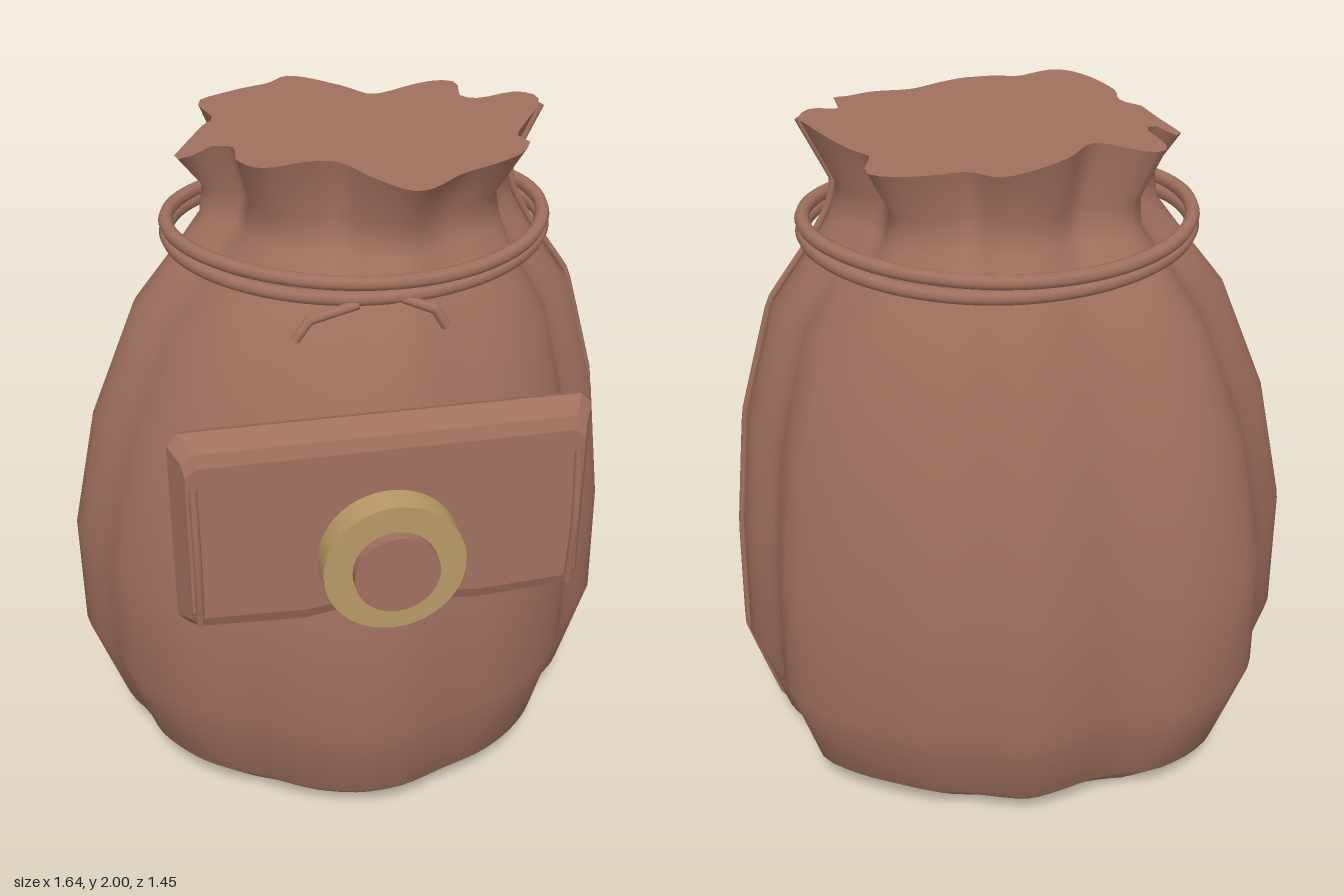
import * as THREE from 'three';

const N = 96;

// Samples a closed outline by angle and fits it to the box [-1, 1]
function unitOutline(points, cx, cz) {
  const polar = points.map(([x, z]) => ({
    a: (Math.atan2(z - cz, x - cx) + Math.PI * 2) % (Math.PI * 2),
    r: Math.hypot(x - cx, z - cz),
  })).sort((p, q) => p.a - q.a);
  const n = polar.length;
  const at = (i) => polar[((i % n) + n) % n];
  const out = [];
  for (let k = 0; k < N; k++) {
    const a = (k / N) * Math.PI * 2;
    let i = -1;
    while (i + 1 < n && polar[i + 1].a <= a) i++;
    const span = (at(i + 1).a - at(i).a + Math.PI * 2) % (Math.PI * 2);
    const t = ((a - at(i).a + Math.PI * 2) % (Math.PI * 2)) / span;
    const [p0, p1, p2, p3] = [-1, 0, 1, 2].map((d) => at(i + d).r);
    const r = 0.5 * (2 * p1 + (p2 - p0) * t + (2 * p0 - 5 * p1 + 4 * p2 - p3) * t * t
      + (3 * p1 - p0 - 3 * p2 + p3) * t * t * t);
    out.push([Math.cos(a) * r, Math.sin(a) * r]);
  }
  for (const c of [0, 1]) {
    const lo = Math.min(...out.map((p) => p[c])), hi = Math.max(...out.map((p) => p[c]));
    out.forEach((p) => { p[c] = ((p[c] - lo) / (hi - lo)) * 2 - 1; });
  }
  return out;
}

// Gently folded belly and strongly pleated mouth
const belly = unitOutline([
  [-0.82, -0.13], [-0.75, -0.27], [-0.695, -0.37], [-0.665, -0.48], [-0.59, -0.57], [-0.43, -0.655],
  [-0.33, -0.655], [-0.23, -0.665], [-0.1, -0.71], [0, -0.73], [0.1, -0.71], [0.2, -0.68],
  [0.33, -0.655], [0.43, -0.61], [0.56, -0.54], [0.66, -0.455], [0.685, -0.37], [0.69, -0.28],
  [0.75, -0.2], [0.785, -0.11], [0.775, -0.04], [0.775, 0.02], [0.73, 0.09], [0.635, 0.175],
  [0.59, 0.28], [0.5, 0.39], [0.36, 0.49], [0.2, 0.55], [0, 0.61], [-0.21, 0.57],
  [-0.4, 0.465], [-0.5, 0.415], [-0.59, 0.35], [-0.65, 0.285], [-0.72, 0.175], [-0.75, 0.07],
  [-0.805, -0.04],
], 0, -0.06);
const mouth = unitOutline([
  [-0.46, -0.08], [-0.34, -0.2], [-0.35, -0.37], [-0.17, -0.375], [-0.08, -0.46], [0.07, -0.46],
  [0.16, -0.39], [0.39, -0.42], [0.39, -0.28], [0.54, -0.15], [0.55, -0.07], [0.45, 0.07],
  [0.46, 0.15], [0.38, 0.22], [0.245, 0.27], [0.105, 0.355], [0.03, 0.32], [-0.07, 0.23],
  [-0.24, 0.23], [-0.315, 0.13], [-0.32, 0.02],
], 0.045, -0.06);

// Height, x range, z range, share of the mouth pleats
const LEVELS = [
  [0.01, -0.6, 0.58, -0.54, 0.43, 0], [0.12, -0.72, 0.71, -0.65, 0.54, 0],
  [0.4, -0.82, 0.8, -0.725, 0.605, 0], [0.77, -0.82, 0.79, -0.71, 0.61, 0],
  [1.14, -0.74, 0.75, -0.67, 0.56, 0.05], [1.48, -0.6, 0.655, -0.585, 0.465, 0.15],
  [1.66, -0.46, 0.53, -0.5, 0.37, 0.35], [1.74, -0.4, 0.485, -0.45, 0.315, 0.6],
  [1.82, -0.39, 0.465, -0.43, 0.29, 0.8], [1.95, -0.46, 0.55, -0.475, 0.36, 1],
];

// Wavy height of the mouth rim
const RIM = [[-0.46, 1.91], [-0.35, 1.965], [-0.16, 1.995], [0.14, 1.94], [0.4, 1.955], [0.55, 2]];
function rimHeight(x) {
  let i = 0;
  while (i < RIM.length - 2 && x > RIM[i + 1][0]) i++;
  const t = THREE.MathUtils.smoothstep(x, RIM[i][0], RIM[i + 1][0]);
  return THREE.MathUtils.lerp(RIM[i][1], RIM[i + 1][1], t);
}

function bagPoint(level, i) {
  const [y, x0, x1, z0, z1, m] = LEVELS[level];
  const u = THREE.MathUtils.lerp(belly[i][0], mouth[i][0], m);
  const v = THREE.MathUtils.lerp(belly[i][1], mouth[i][1], m);
  const x = (x0 + x1) / 2 + (u * (x1 - x0)) / 2;
  const z = (z0 + z1) / 2 + (v * (z1 - z0)) / 2;
  return [x, level === LEVELS.length - 1 ? rimHeight(x) : y, z];
}

function buildGeometry(positions, index) {
  const g = new THREE.BufferGeometry();
  g.setAttribute('position', new THREE.Float32BufferAttribute(positions, 3));
  g.setIndex(index);
  g.computeVertexNormals();
  return g;
}

function bagWall() {
  const pos = [], idx = [];
  LEVELS.forEach((_, j) => {
    for (let i = 0; i < N; i++) pos.push(...bagPoint(j, i));
  });
  for (let j = 0; j < LEVELS.length - 1; j++) {
    for (let i = 0; i < N; i++) {
      const a = j * N + i, b = j * N + ((i + 1) % N);
      idx.push(a, a + N, b, b, a + N, b + N);
    }
  }
  return buildGeometry(pos, idx);
}

// Cap evenly shaded as one flat face
function bagCap(level, up) {
  const pos = up ? [0.045, 1.96, -0.06] : [-0.01, LEVELS[level][0], -0.055];
  const idx = [];
  for (let i = 0; i < N; i++) {
    pos.push(...bagPoint(level, i));
    const a = 1 + i, b = 1 + ((i + 1) % N);
    idx.push(0, ...(up ? [b, a] : [a, b]));
  }
  const g = buildGeometry(pos, idx);
  for (let i = 0; i <= N; i++) g.attributes.normal.setXYZ(i, 0, up ? 1 : -1, 0);
  return g;
}

// Faceted pouch, widest halfway through, with a slightly arched lower edge
function pouchGeometry() {
  const cx = -0.0175, cy = 1.12;
  const outline = [
    [-0.545, 0.83], [-0.25, 0.815], [-0.1, 0.84], [0.05, 0.84], [0.25, 0.815], [0.51, 0.83],
    [0.54, 0.86], [0.54, 1.39], [0.51, 1.42], [-0.545, 1.42], [-0.575, 1.39], [-0.575, 0.86],
  ];
  // Depth, inset of the ends, inset of the long edges
  const rings = [[0.465, 0.035, 0.065], [0.475, 0.03, 0.03], [0.535, 0, 0], [0.597, 0.03, 0.03],
    [0.61, 0.035, 0.065]];
  const n = outline.length, last = rings.length * n, pos = [], idx = [];
  for (const [z, dx, dy] of rings) {
    for (const [x, y] of outline) {
      pos.push(cx + (x - cx) * (1 - dx / 0.5575), cy + (y - cy) * (1 - dy / 0.3), z);
    }
  }
  pos.push(cx, cy, rings[0][0], cx, cy, rings[rings.length - 1][0]);
  for (let i = 0; i < n; i++) {
    const k = (i + 1) % n;
    for (let j = 0; j < rings.length - 1; j++) {
      const a = j * n + i, b = j * n + k;
      idx.push(a, b, a + n, b, b + n, a + n);
    }
    idx.push(last, k, i, last + 1, last - n + i, last - n + k);
  }
  const g = buildGeometry(pos, idx).toNonIndexed();
  g.computeVertexNormals();
  return g;
}

// Tube through a few points; straight runs keep sharp bends
function tube(points, radius, straight = false, closed = false) {
  const v = points.map((p) => new THREE.Vector3(...p));
  const curve = new THREE.CatmullRomCurve3(v, closed, 'catmullrom', straight ? 0.05 : 0.5);
  return new THREE.TubeGeometry(curve, straight ? 60 : 96, radius, 8, closed);
}

export function createModel() {
  const group = new THREE.Group();
  const leather = new THREE.MeshStandardMaterial({ color: 0xa0705e, side: THREE.DoubleSide });
  leather.name = 'brown leather';
  const brass = new THREE.MeshStandardMaterial({ color: 0xb89a66 });
  brass.name = 'dull brass';
  const add = (name, geometry, material = leather) => {
    const mesh = new THREE.Mesh(geometry, material);
    mesh.name = name;
    group.add(mesh);
    return mesh;
  };

  // Sack
  add('sackBody', bagWall());
  add('sackBase', bagCap(0, false));
  add('sackMouth', bagCap(LEVELS.length - 1, true));

  // Side seam
  const seam = LEVELS.map((_, j) => {
    const [x, y] = bagPoint(j, 0);
    return [x + 0.012, j === 0 ? 0.005 : Math.min(y, 1.99), -0.075];
  });
  add('sideSeam', tube(seam, 0.01, true));

  // Two turns of drawstring
  [1.67, 1.708].forEach((y, k) => {
    const loop = [];
    for (let i = 0; i < 24; i++) {
      const a = (i / 24) * Math.PI * 2;
      loop.push([0.033 + 0.527 * Math.cos(a), y + 0.012 * Math.cos(2 * a + k * 0.6),
        -0.085 + 0.442 * Math.sin(a)]);
    }
    add('drawstring', tube(loop, 0.02, false, true));
  });

  // Creases below the drawstring
  add('creaseRight', tube([[-0.22, 1.575, 0.39], [-0.18, 1.625, 0.385], [-0.05, 1.645, 0.36]], 0.014, true));
  add('creaseLeft', tube([[0.06, 1.655, 0.36], [0.15, 1.625, 0.385], [0.18, 1.575, 0.39]], 0.014, true));

  // Front pouch with upright stitches near its ends
  add('frontPouch', pouchGeometry());
  for (const x of [-0.522, 0.484]) {
    add('pouchStitch', tube([[x, 0.88, 0.617], [x, 1.09, 0.637], [x, 1.3, 0.622]], 0.011));
  }

  // Round clasp
  const ring = new THREE.Shape().absarc(0, 0, 0.19, 0, Math.PI * 2);
  ring.holes.push(new THREE.Path().absarc(0, 0, 0.112, 0, Math.PI * 2, true));
  add('claspRing', new THREE.ExtrudeGeometry(ring, { depth: 0.083, bevelEnabled: false, curveSegments: 32 }), brass)
    .position.set(-0.017, 1.045, 0.614);
  const knob = add('claspKnob', new THREE.CylinderGeometry(0.114, 0.114, 0.112, 32).rotateX(Math.PI / 2));
  knob.position.set(-0.017, 1.045, 0.67);

  return group;
}
